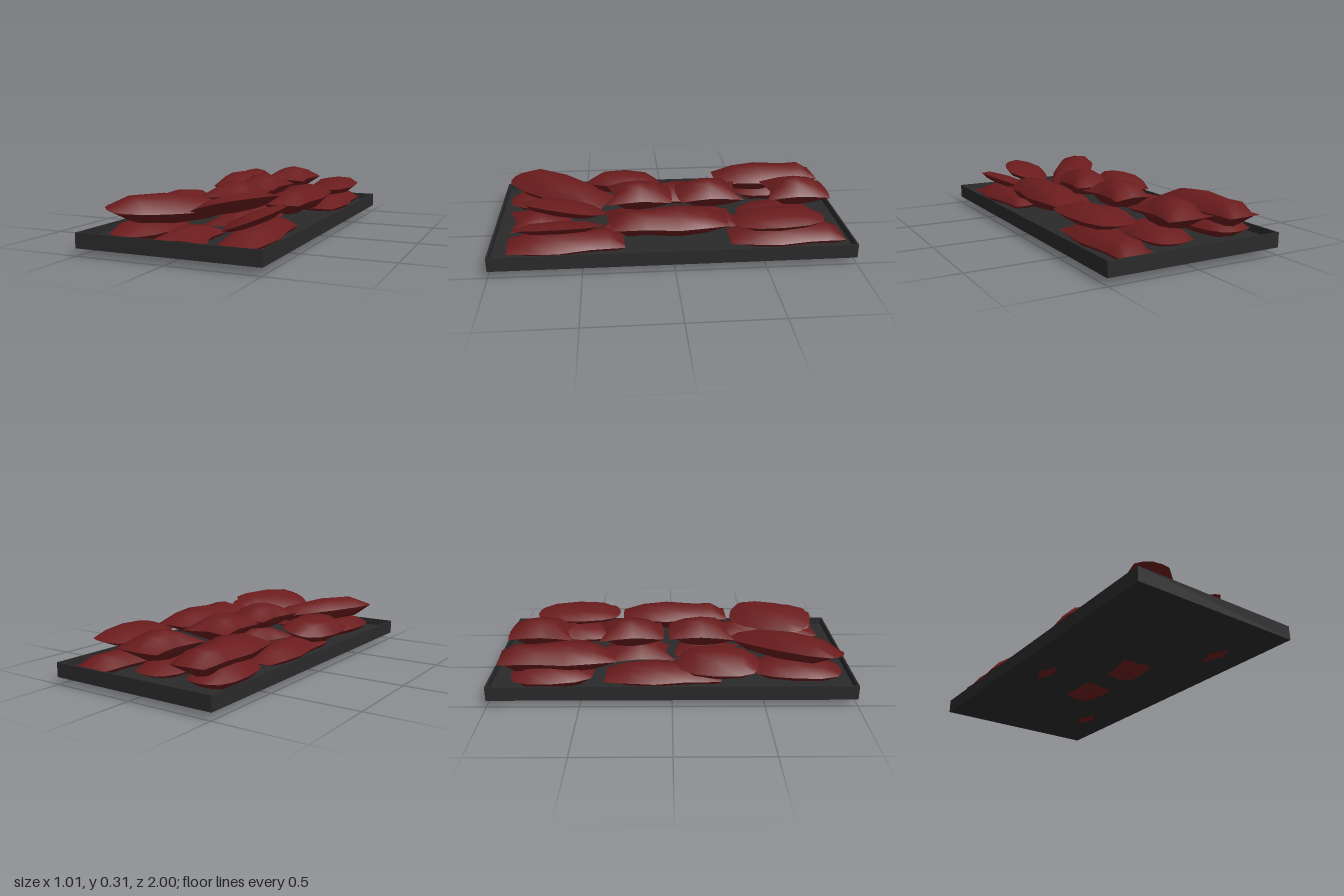
import * as THREE from 'three';

// Pouch kinds: half length, end bulge (back, front) and cross-sections [position along, half width, fullness]
const KINDS = {
  flat: {
    l: 0.32, back: 0, front: 0,
    rows: [[-1, 0.1, 0], [-0.72, 0.1, 0.9], [-0.4, 0.102, 0.84], [0.15, 0.13, 1], [0.6, 0.115, 0.84], [1, 0.1, 0]],
  },
  round: {
    l: 0.25, back: 0.12, front: 0.12,
    rows: [[-1, 0.095, 0], [-0.6, 0.13, 0.8], [0, 0.14, 1], [0.6, 0.13, 0.8], [1, 0.095, 0]],
  },
  star: {
    l: 0.19, back: 0.07, front: -0.22,
    rows: [[-1, 0.135, 0], [-0.5, 0.115, 0.8], [0, 0.105, 1], [0.5, 0.12, 0.85], [1, 0.145, 0]],
  },
  long: {
    l: 0.345, back: 0, front: 0.1,
    rows: [[-1, 0.09, 0], [-0.6, 0.11, 0.75], [0, 0.13, 1], [0.6, 0.125, 0.85], [1, 0.085, 0]],
  },
};
// Profile across a pouch: [position, fullness]
const ACROSS = [[-1, 0], [-0.6, 0.82], [0, 1], [0.6, 0.82], [1, 0]];

// Stuffed pouch: two domed sheets meeting in a sharp seam
function pouchGeometry({ l, back, front, rows }, t) {
  const pos = [], index = [], n = ACROSS.length;
  for (const s of [1, -1]) {
    const base = pos.length / 3;
    for (const [v, w, fullV] of rows) {
      const end = v < 0 ? back : front;
      for (const [u, fullU] of ACROSS) {
        const endScale = end > 0 ? 1 - end * u * u : 1 + end * (1 - Math.abs(u));
        pos.push(u * w, s * t * fullU * fullV, v * l * endScale);
      }
    }
    for (let j = 0; j < rows.length - 1; j++) {
      for (let i = 0; i < n - 1; i++) {
        const a = base + j * n + i, b = a + 1, c = a + n, d = c + 1;
        if (s > 0) index.push(a, c, b, b, c, d);
        else index.push(a, b, c, b, d, c);
      }
    }
  }
  const g = new THREE.BufferGeometry();
  g.setAttribute('position', new THREE.Float32BufferAttribute(pos, 3));
  g.setIndex(index);
  g.computeVertexNormals();
  return g;
}

// kind, x, y, z, half thickness, yaw, pitch, roll, length scale
const LOWER = [
  ['round', -0.33, 0.12, -0.66, 0.07, 0.1, 0, 0, 0.92],
  ['round', 0.01, 0.1, -0.64, 0.057, 0, 0, 0, 0.92],
  ['flat', 0.31, 0.1, -0.64, 0.067, 0, 0, 0, 1],
  ['flat', -0.31, 0.1, -0.05, 0.067, Math.PI, 0, 0, 1],
  ['star', 0.04, 0.08, -0.19, 0.08, 0.1, 0, 0, 1.05],
  ['star', 0.05, 0.08, 0.21, 0.08, -0.15, 0, 0, 1],
  ['flat', 0.32, 0.1, 0.59, 0.067, 0.05, 0, 0, 1],
  ['star', 0.02, 0.1, 0.75, 0.055, 0.1, 0, 0, 0.95],
  ['round', -0.25, 0.11, 0.7, 0.065, -0.1, 0, 0, 1.02],
];
const UPPER = [
  ['flat', -0.305, 0.21, -0.63, 0.075, 0.06, 0, 0, 1],
  ['star', 0, 0.235, -0.76, 0.08, 0, 0, 0, 1],
  ['round', 0.345, 0.22, -0.58, 0.05, 0.08, 0, 0.05, 1.04],
  ['round', -0.33, 0.185, 0.255, 0.07, -0.12, 0, 0.17, 0.9],
  ['star', -0.01, 0.235, -0.235, 0.08, Math.PI + 0.06, 0, 0, 1],
  ['star', 0, 0.235, 0.17, 0.08, 0, 0, 0, 1],
  ['flat', 0.325, 0.215, 0.02, 0.07, Math.PI + 0.03, 0, 0, 1],
  ['round', 0.31, 0.19, 0.63, 0.035, 0.05, 0, 0.36, 1],
  ['long', -0.17, 0.215, 0.645, 0.075, -0.58, -0.05, -0.12, 1],
  ['round', 0.19, 0.252, 0.6, 0.045, -0.42, 0, 0.3, 1],
];

export function createModel() {
  const model = new THREE.Group();
  const trayMat = new THREE.MeshStandardMaterial({ color: 0x2a2a2a });
  trayMat.name = 'charcoal';
  const pouchMat = new THREE.MeshStandardMaterial({ color: 0x6b1c1d });
  pouchMat.name = 'darkRed';

  // Shallow tray: floor plus thin raised wall
  const tray = new THREE.Group();
  tray.name = 'tray';
  const floor = new THREE.Mesh(new THREE.BoxGeometry(0.99, 0.04, 1.98), trayMat);
  floor.name = 'trayFloor';
  floor.position.y = 0.06;
  tray.add(floor);
  const rect = (shape, x, z) =>
    shape.moveTo(-x, -z).lineTo(x, -z).lineTo(x, z).lineTo(-x, z).closePath();
  const outline = rect(new THREE.Shape(), 0.504, 1);
  outline.holes.push(rect(new THREE.Path(), 0.494, 0.99));
  const rim = new THREE.Mesh(
    new THREE.ExtrudeGeometry(outline, { depth: 0.08, bevelEnabled: false }).rotateX(-Math.PI / 2), trayMat);
  rim.name = 'trayRim';
  rim.position.y = 0.04;
  tray.add(rim);
  model.add(tray);

  // Two heaped layers of pouches
  for (const [name, rows] of [['lowerPouches', LOWER], ['upperPouches', UPPER]]) {
    const layer = new THREE.Group();
    layer.name = name;
    for (const [kind, x, y, z, t, yaw, pitch, roll, len] of rows) {
      const pouch = new THREE.Mesh(pouchGeometry(KINDS[kind], t), pouchMat);
      pouch.name = kind + 'Pouch';
      pouch.position.set(x, y, z);
      pouch.rotation.set(pitch, yaw, roll, 'YXZ');
      pouch.scale.z = len;
      layer.add(pouch);
    }
    model.add(layer);
  }
  return model;
}
